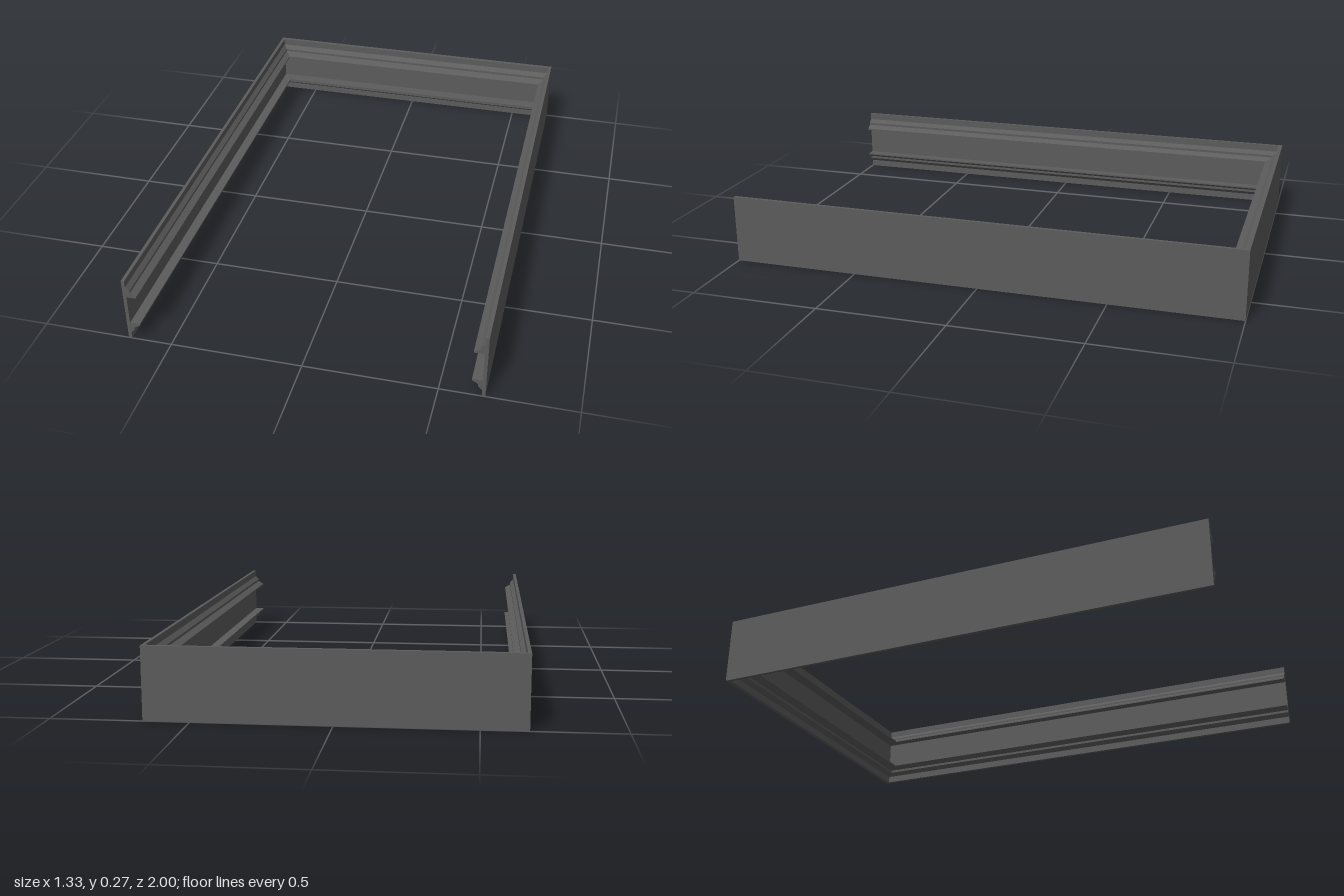
import * as THREE from 'three';

const HALF_WIDTH = 0.667, HEIGHT = 0.267, BACK_SCALE = 1.32;

// Lower half of the moulding section: [depth inward, height]
const lower = [
  [0, 0], [0.013, 0], [0.013, 0.028], [0.028, 0.043],
  [0.028, 0.053], [0.051, 0.067], [0.051, 0.073], [0.013, 0.073],
];
// The upper half mirrors the lower one
const profile = [...lower, ...lower.map(([d, y]) => [d, HEIGHT - y]).reverse()];

// Section placed at an open front end or at a mitred back corner
const openEnd = (s) => profile.map(([d, y]) => [s * (HALF_WIDTH - d), y, 1]);
const corner = (s) => profile.map(([d, y]) => [s * (HALF_WIDTH - d), y, -1 + BACK_SCALE * d]);

const capFaces = THREE.ShapeUtils.triangulateShape(
  profile.map(([d, y]) => new THREE.Vector2(d, y)), []);

// Straight rail between two sections, with an optional cap at either end
function rail(name, a, b, capA, capB, material) {
  const pos = [];
  const tri = (...points) => points.forEach((p) => pos.push(...p));
  for (let i = 0; i < a.length; i++) {
    const j = (i + 1) % a.length;
    tri(a[i], a[j], b[j]);
    tri(a[i], b[j], b[i]);
  }
  for (const [i, j, k] of capFaces) {
    if (capA) tri(a[k], a[j], a[i]);
    if (capB) tri(b[i], b[j], b[k]);
  }
  const geometry = new THREE.BufferGeometry();
  geometry.setAttribute('position', new THREE.Float32BufferAttribute(pos, 3));
  geometry.computeVertexNormals();
  const mesh = new THREE.Mesh(geometry, material);
  mesh.name = name;
  return mesh;
}

export function createModel() {
  const group = new THREE.Group();
  group.name = 'mouldedFrame';
  const material = new THREE.MeshStandardMaterial({ color: 0x5c5c5c, flatShading: true });

  // Three mitred rails around an open front
  group.add(
    rail('leftRail', openEnd(1), corner(1), true, false, material),
    rail('backRail', corner(1), corner(-1), false, false, material),
    rail('rightRail', corner(-1), openEnd(-1), false, true, material),
  );
  return group;
}
